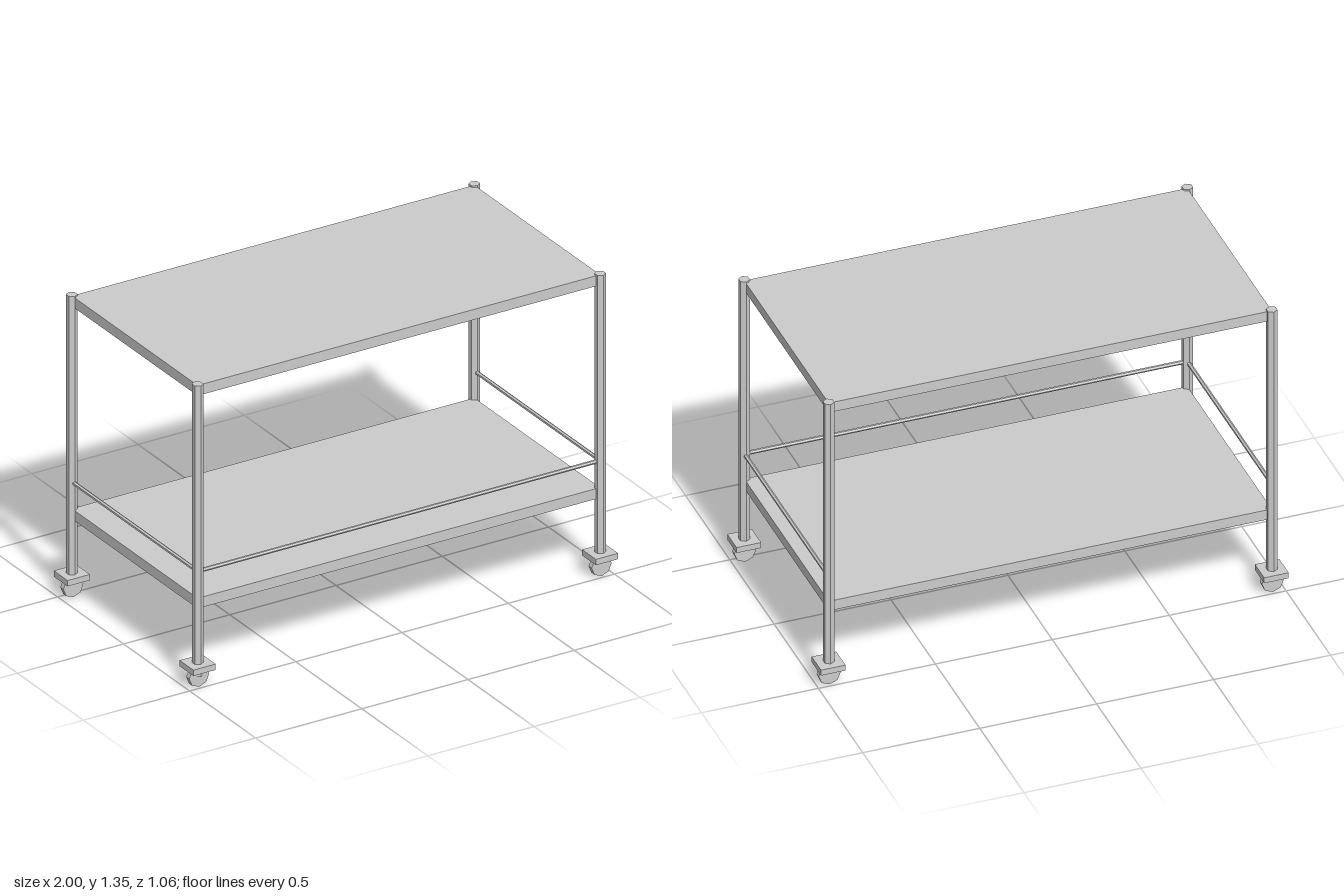
import * as THREE from 'three';

const LEG_X = 0.9475, LEG_Z = 0.4765, LEG_TOP = 1.346;

export function createModel() {
  const group = new THREE.Group();
  const material = new THREE.MeshStandardMaterial({ color: 0xcccccc, flatShading: true });

  function add(name, geometry, x, y, z) {
    const mesh = new THREE.Mesh(geometry, material);
    mesh.name = name;
    mesh.position.set(x, y, z);
    group.add(mesh);
    return mesh;
  }

  // Two flat shelves spanning the leg centres
  for (const [name, y] of [['topShelf', 1.316], ['lowerShelf', 0.367]]) {
    add(name, new THREE.BoxGeometry(2 * LEG_X, 0.046, 2 * LEG_Z), 0, y, 0);
  }

  // Guard rails on the front and both sides; the back stays open
  const rail = (length) => new THREE.CylinderGeometry(0.0088, 0.0088, length, 6);
  add('frontRail', rail(2 * LEG_X), 0, 0.511, LEG_Z).rotation.z = Math.PI / 2;
  for (const side of [-1, 1]) {
    const name = side > 0 ? 'leftRail' : 'rightRail';
    add(name, rail(2 * LEG_Z), side * LEG_X, 0.511, 0).rotation.x = Math.PI / 2;
  }

  // Hexagonal legs, each on a square plate with a caster wheel
  for (const sx of [-1, 1]) {
    for (const sz of [-1, 1]) {
      const corner = (sz > 0 ? 'front' : 'back') + (sx > 0 ? 'Left' : 'Right');
      const x = sx * LEG_X, z = sz * LEG_Z;
      // The front right leg reaches down through its plate
      const bottom = sx < 0 && sz > 0 ? 0.048 : 0.09;
      const height = LEG_TOP - bottom;
      add(corner + 'Leg', new THREE.CylinderGeometry(0.0235, 0.0235, height, 6), x, bottom + height / 2, z);
      add(corner + 'CasterPlate', new THREE.BoxGeometry(0.105, 0.026, 0.105), x, 0.092, z);
      add(corner + 'Wheel', new THREE.CylinderGeometry(0.047, 0.047, 0.023, 8), x, 0.047, z).rotation.x = Math.PI / 2;
    }
  }

  return group;
}
